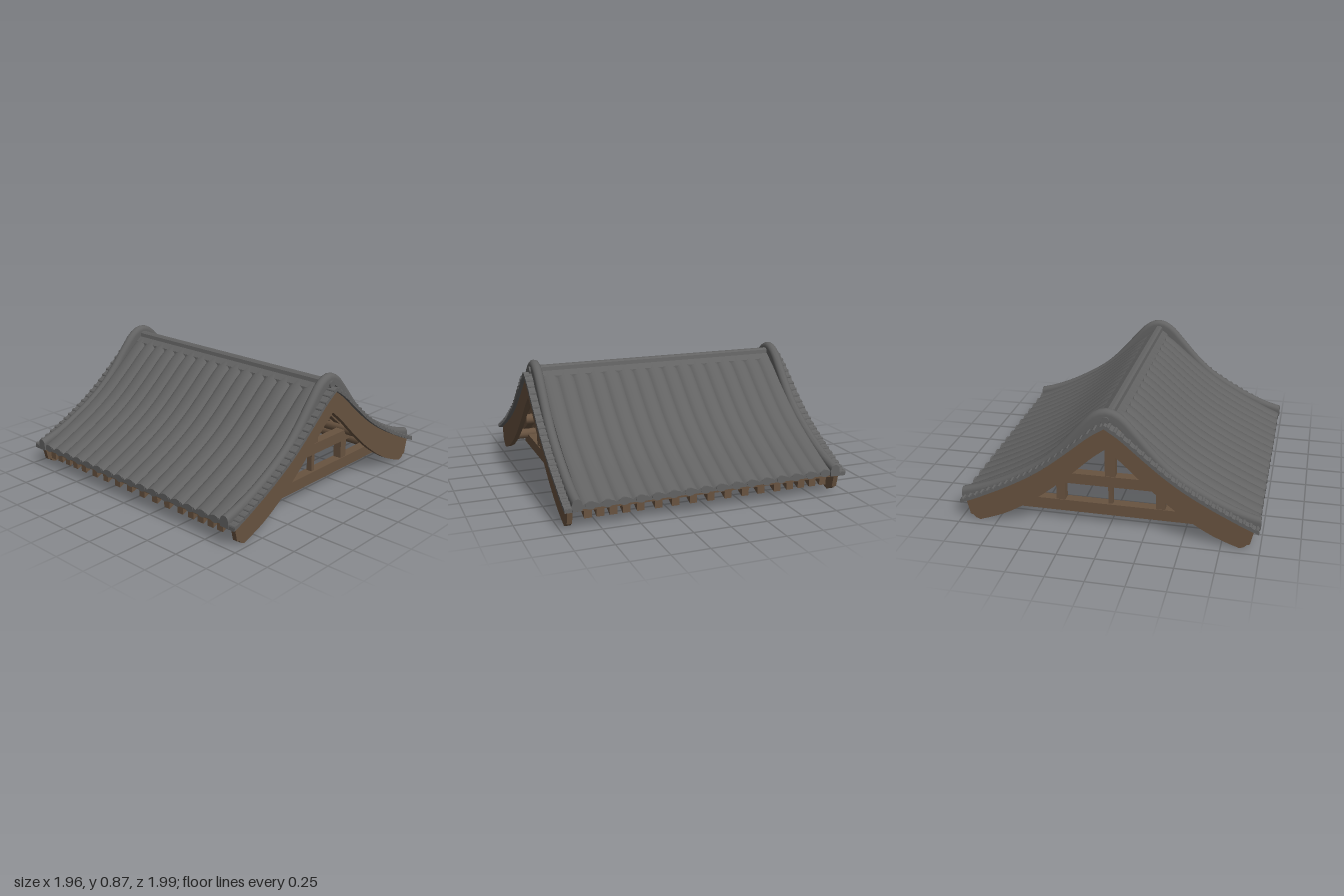
import * as THREE from 'three';
import { toCreasedNormals } from 'three/addons/utils/BufferGeometryUtils.js';

// Heights at z = 0, 0.1 ... 1.0 of the roof slope, verge crest and bargeboard underside
const SLOPE = [0.78, 0.714, 0.63, 0.545, 0.465, 0.395, 0.335, 0.28, 0.23, 0.182, 0.14];
const CREST = [0.87, 0.832, 0.727, 0.612, 0.512, 0.437, 0.376, 0.322, 0.276, 0.238, 0.21];
const BELLY = [0.61, 0.53, 0.435, 0.345, 0.26, 0.185, 0.12, 0.065, 0.024];

// Smooth interpolation of a height table, mirrored in z
function curve(table, round) {
  const n = table.length;
  const get = (i) => i < 0 ? (round ? table[1] : 2 * table[0] - table[1])
    : i >= n ? 2 * table[n - 1] - table[n - 2] : table[i];
  return (z) => {
    const u = Math.min(Math.abs(z) * 10, n - 1), i = Math.min(Math.floor(u), n - 2), t = u - i;
    const [a, b, c, d] = [get(i - 1), get(i), get(i + 1), get(i + 2)];
    return b + 0.5 * t * (c - a + t * (2 * a - 5 * b + 4 * c - d + t * (3 * (b - c) + d - a)));
  };
}
const slope = curve(SLOPE, false), crest = curve(CREST, true), belly = curve(BELLY, false);

// Sweep a counter-clockwise section of [x, thickness offset] along a height curve, from -end to end
function sweep(section, fn, end, steps = 48) {
  const pos = [], n = section.length;
  const rows = [];
  for (let i = 0; i <= steps; i++) {
    const z = -end + 2 * end * i / steps, a = Math.min(Math.abs(z), 0.997);
    const tilt = Math.hypot(1, (fn(a + 0.002) - fn(a)) / 0.002);
    rows.push(section.map(([x, o]) => [x, fn(z) + o * tilt, z]));
  }
  const tri = (a, b, c) => pos.push(...a, ...b, ...c);
  for (let i = 0; i < steps; i++) for (let j = 0; j < n; j++) {
    const k = (j + 1) % n, [r, s] = [rows[i], rows[i + 1]];
    tri(r[j], r[k], s[j]);
    tri(r[k], s[k], s[j]);
  }
  const faces = THREE.ShapeUtils.triangulateShape(section.map(([x, o]) => new THREE.Vector2(x, o)), []);
  for (const [a, b, c] of faces) {
    tri(rows[steps][a], rows[steps][b], rows[steps][c]);
    tri(rows[0][a], rows[0][c], rows[0][b]);
  }
  const g = new THREE.BufferGeometry();
  g.setAttribute('position', new THREE.Float32BufferAttribute(pos, 3));
  return toCreasedNormals(g, 0.6);
}

const rect = (x, w, lo, hi) => [[x - w / 2, lo], [x + w / 2, lo], [x + w / 2, hi], [x - w / 2, hi]];

export function createModel() {
  const root = new THREE.Group();
  const tile = new THREE.MeshStandardMaterial({ color: 0x626262 });
  tile.name = 'grey tile';
  const wood = new THREE.MeshStandardMaterial({ color: 0x685340 });
  wood.name = 'brown wood';

  const add = (name, geo, mat, x = 0, y = 0, z = 0) => {
    const m = new THREE.Mesh(geo, mat);
    m.name = name;
    m.position.set(x, y, z);
    root.add(m);
    return m;
  };
  const box = (name, w, h, d, x, y, z) => add(name, new THREE.BoxGeometry(w, h, d), wood, x, y, z);
  const bar = (name, r, len, mat, x, y, z) => {
    add(name, new THREE.CylinderGeometry(r, r, len, 12), mat, x, y, z).rotation.z = Math.PI / 2;
  };

  // Roof covering: rows of rounded tiles side by side
  const PITCH = 0.109, COLS = 16, HALF = PITCH * COLS / 2;
  const humps = [[-HALF, -0.005], [HALF, -0.005]];
  for (let c = COLS - 1; c >= 0; c--) {
    for (let k = c === COLS - 1 ? 0 : 1; k <= 8; k++) {
      const u = 1 - k / 8;
      humps.push([-HALF + (c + u) * PITCH, 0.013 + 0.017 * Math.sqrt(Math.sin(Math.PI * u) + 1e-6)]);
    }
  }
  add('roofTiles', sweep(humps, slope, 0.985), tile);

  // Round eave tile ends, with a small lip below each row
  for (const s of [-1, 1]) for (let c = 0; c < COLS; c++) {
    const cap = add('eaveTileEnd', new THREE.CylinderGeometry(0.036, 0.036, 0.02, 14), tile,
      -HALF + (c + 0.5) * PITCH, 0.158, s * 0.978);
    cap.rotation.x = Math.PI / 2;
    cap.scale.z = 0.72;
  }

  // Ridge cap with round bosses in the gables
  const half = [[0.082, 0.725], [0.075, 0.765], [0.033, 0.795], [0.027, 0.82], [0.012, 0.83]];
  const ridge = new THREE.Shape([...half, ...half.map(([z, y]) => [-z, y]).reverse()]
    .map(([z, y]) => new THREE.Vector2(z, y)));
  const ridgeGeo = new THREE.ExtrudeGeometry(ridge, { depth: 1.76, bevelEnabled: false });
  add('ridgeCap', ridgeGeo.translate(0, 0, -0.88).rotateY(Math.PI / 2), tile);
  bar('ridgeBoss', 0.026, 1.88, tile, 0.008, 0.8, 0);

  // Bargeboard outline, with a slanted foot at each end
  const right = [];
  for (let i = 0; i <= 16; i++) right.push([0.96 * i / 16, slope(0.96 * i / 16) - 0.012]);
  right.push([0.935, 0.035], [0.915, 0.03], [0.9, 0.012], [0.87, 0]);
  for (let i = 16; i >= 0; i--) right.push([0.05 * i, belly(0.05 * i)]);
  const mirrored = right.slice(1, -1).map(([z, y]) => [-z, y]).reverse();
  const board = new THREE.Shape([...right, ...mirrored].map(([z, y]) => new THREE.Vector2(z, y)));
  const boardGeo = toCreasedNormals(
    new THREE.ExtrudeGeometry(board, { depth: 0.034, bevelEnabled: false })
      .translate(0, 0, -0.017).rotateY(Math.PI / 2), 0.5);

  for (const s of [-1, 1]) {
    // Verge roll running over each gable
    const rx = s * 0.897 + 0.008;
    const roll = [[rx - 0.032, -0.075], [rx + 0.032, -0.075]];
    for (let k = 0; k <= 10; k++) {
      const a = Math.PI * k / 10;
      roll.push([rx + 0.032 * Math.cos(a), -0.032 + 0.032 * Math.sin(a)]);
    }
    add('vergeRoll', sweep(roll, crest, 0.995), tile);

    // Edge strip with short cross tiles
    const ex = s * 0.943 + 0.006;
    add('vergeStrip', sweep(rect(ex, 0.07, -0.014, 0.008), slope, 0.99), tile);
    for (let i = 0; i < 46; i++) {
      const z = -0.975 + 1.95 * i / 45;
      bar('vergeTile', 0.014, 0.074, tile, ex, slope(z) + 0.002, z);
    }

    add('bargeboard', boardGeo, wood, s * 0.932 + 0.009);

    // Gable truss
    const x = s * 0.79;
    box('tieBeam', 0.07, 0.08, 1.5, x, 0.11, 0);
    box('collarBeam', 0.07, 0.075, 0.84, x, 0.317, 0);
    box('kingPost', 0.06, 0.34, 0.068, x, 0.5, 0);
    box('middleStrut', 0.04, 0.15, 0.03, x, 0.21, 0);
    for (const t of [-1, 1]) box('sideStrut', 0.06, 0.15, 0.06, x, 0.21, t * 0.337);
  }

  // Boarding and rafters under the tiles; rafters sit closer together near the gables
  add('roofBoarding', sweep(rect(0.008, 1.84, -0.025, -0.006), slope, 0.955), wood);
  const rafterX = [0, 0.122, 0.245, 0.36, 0.48, 0.575, 0.66, 0.745, 0.825];
  for (const x of [...rafterX.slice(1).map((v) => -v), ...rafterX]) {
    add('rafter', sweep(rect(x, 0.05, -0.092, -0.02), slope, 0.945, 32), wood);
  }

  // Lengthwise timbers
  bar('ridgeBeam', 0.035, 1.8, wood, 0, 0.64, 0);
  for (const s of [-1, 1]) {
    bar('upperPurlin', 0.038, 1.8, wood, 0, 0.35, s * 0.375);
    bar('lowerPurlin', 0.038, 1.8, wood, 0, 0.15, s * 0.68);
    box('eaveBatten', 1.82, 0.03, 0.025, 0, 0.135, s * 0.95);
  }
  return root;
}
